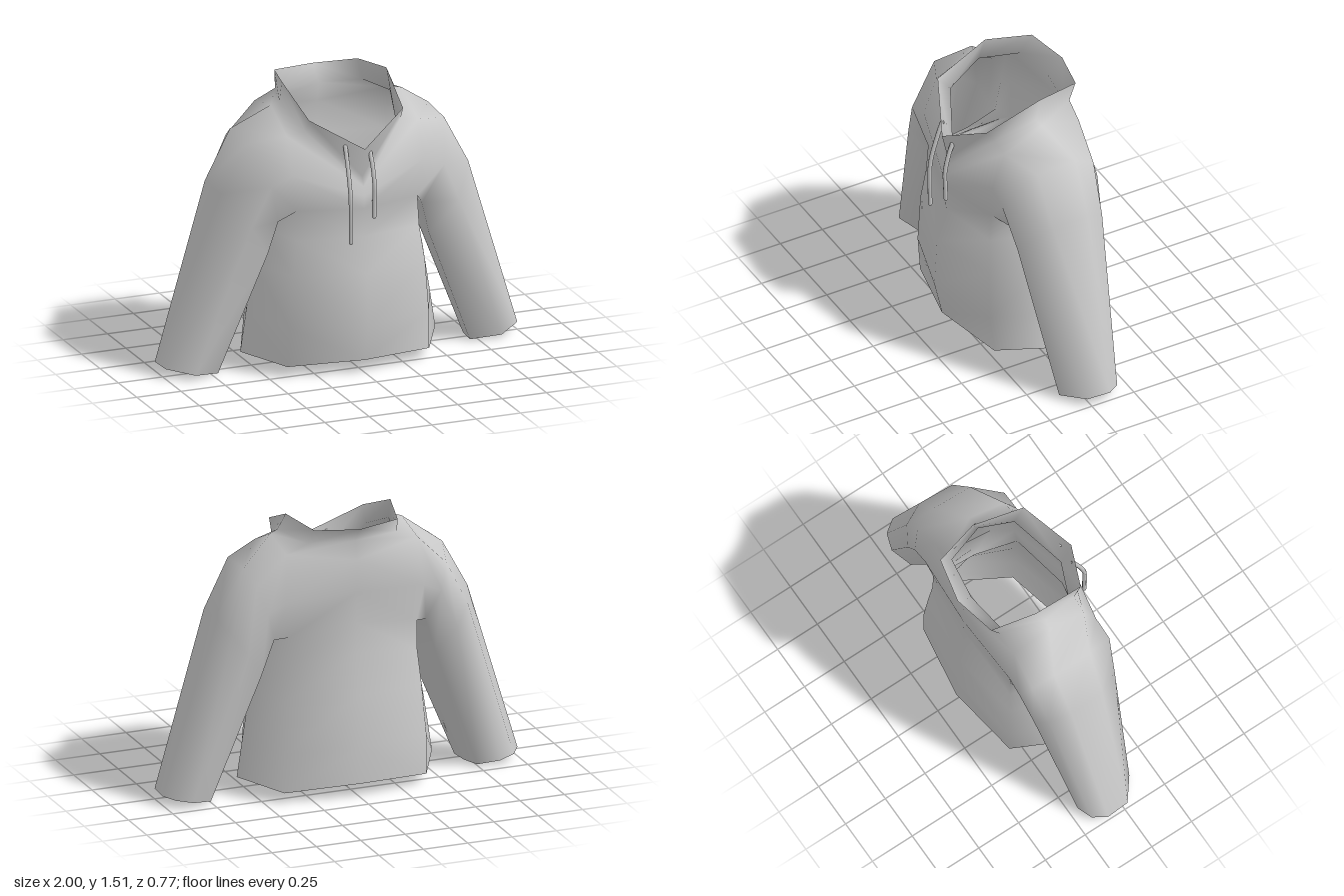
import * as THREE from 'three';

const THICK = 0.032;

// Half rings: front, front corner, side, back corner, back (mirrored to 8 points)
const RINGS = [
  [[0, 0.07, 0.34], [0.4, 0.055, 0.25], [0.55, 0.07, -0.03], [0.4, 0.055, -0.32], [0, 0.075, -0.385]], // hem
  [[0, 0.27, 0.385], [0.39, 0.27, 0.27], [0.52, 0.27, -0.03], [0.4, 0.27, -0.32], [0, 0.27, -0.385]],
  [[0, 0.55, 0.37], [0.37, 0.55, 0.265], [0.475, 0.55, -0.03], [0.38, 0.55, -0.3], [0, 0.55, -0.36]],
  [[0, 0.74, 0.315], [0.345, 0.74, 0.245], [0.425, 0.74, -0.03], [0.36, 0.74, -0.29], [0, 0.78, -0.335]],
  [[0, 0.9, 0.33], [0.34, 0.9, 0.235], [0.375, 0.88, -0.03], [0.36, 0.9, -0.285], [0, 0.95, -0.335]], // armpit
  [[0, 0.97, 0.335], [0.37, 1.1, 0.245], null, [0.39, 1.1, -0.315], [0, 1.12, -0.34]], // chest
  [[0, 1.02, 0.325], [0.37, 1.295, 0.17], [0.37, 1.4, -0.05], [0.37, 1.355, -0.27], [0, 1.3, -0.34]], // yoke
  [[0, 1.07, 0.305], [0.27, 1.315, 0.175], [0.325, 1.415, -0.04], [0.25, 1.405, -0.28], [0, 1.4, -0.32]], // collar base
  [[0, 1.23, 0.34], [0.265, 1.385, 0.22], [0.295, 1.51, -0.08], [0.235, 1.49, -0.325], [0, 1.48, -0.375]], // collar rim
];
const ARMPIT = 4, CHEST = 5, YOKE = 6, BASE = 7, RIM = 8;

// Sleeve sections: lower point, upper point, front z, back z
const SLEEVE = [
  { low: [0.405, 0.82], high: [0.56, 1.265], front: 0.25, back: -0.315 },
  { low: [0.455, 0.64], high: [0.705, 1.0], front: 0.215, back: -0.29 },
  { low: [0.71, 0], high: [1, 0.05], front: 0.12, back: -0.205 },
];
// Sleeve outline: height from lower to upper point, and depth from back (-1) to front (1)
const OUTLINE = [[0.03, -0.1], [0, 0.6], [0.53, 1], [0.97, 0.4], [1, -0.4], [0.83, -0.83], [0.53, -1], [0.14, -0.75]];

export function createModel() {
  const group = new THREE.Group();
  group.name = 'pullover';
  const material = new THREE.MeshStandardMaterial({ color: 0xcccccc });
  const rimMaterial = new THREE.MeshStandardMaterial({ color: 0xcccccc, flatShading: true, side: THREE.DoubleSide });

  const points = [];
  const add = (x, y, z) => points.push(x, y, z) / 3 - 1;
  const parts = { torso: [], leftSleeve: [], rightSleeve: [], collar: [] };
  const quad = (list, a, b, c, d) => list.push(a, b, c, a, c, d);

  // Torso and collar rings, running front, left, back, right
  const rings = RINGS.map((half) => {
    const at = (p, s) => (p ? add(s * p[0], p[1], p[2]) : -1);
    return [...half.map((p) => at(p, 1)), ...[3, 2, 1].map((i) => at(half[i], -1))];
  });
  for (let r = 0; r < RIM; r++) {
    const list = r < BASE ? parts.torso : parts.collar;
    for (let i = 0; i < 8; i++) {
      // leave the armholes open between armpit and yoke
      if ((r === ARMPIT || r === CHEST) && [1, 2, 5, 6].includes(i)) continue;
      const j = (i + 1) % 8;
      const a = rings[r][i], b = rings[r][j], c = rings[r + 1][j], d = rings[r + 1][i];
      if (i < 4) quad(list, a, b, c, d);
      else quad(list, b, c, d, a);
    }
  }

  // Sleeves grow out of the armhole loops
  const cuffs = [];
  for (const s of [1, -1]) {
    const [f, m, k] = s > 0 ? [1, 2, 3] : [7, 6, 5];
    let loop = [
      rings[ARMPIT][m], rings[ARMPIT][f], rings[CHEST][f], rings[YOKE][f],
      rings[YOKE][m], rings[YOKE][k], rings[CHEST][k], rings[ARMPIT][k],
    ];
    const list = s > 0 ? parts.leftSleeve : parts.rightSleeve;
    for (const { low, high, front, back } of SLEEVE) {
      const next = OUTLINE.map(([t, w]) => add(
        s * (low[0] + (high[0] - low[0]) * t),
        low[1] + (high[1] - low[1]) * t,
        (front + back) / 2 + (w * (front - back)) / 2,
      ));
      for (let i = 0; i < 8; i++) {
        const j = (i + 1) % 8;
        if (s > 0) quad(list, loop[i], next[i], next[j], loop[j]);
        else quad(list, loop[i], loop[j], next[j], next[i]);
      }
      loop = next;
    }
    cuffs.push(loop);
  }

  // Shared smooth normals, then a lining offset along them that meets the collar at its rim
  const outer = new THREE.BufferGeometry();
  outer.setAttribute('position', new THREE.Float32BufferAttribute(points, 3));
  outer.setIndex(Object.values(parts).flat());
  outer.computeVertexNormals();
  const normals = Array.from(outer.attributes.normal.array);
  const rim = new Set(rings[RIM]);
  const innerPoints = points.map((v, i) => v - normals[i] * (rim.has(Math.floor(i / 3)) ? 0 : THICK));

  const addMesh = (name, pos, nor, index, mat) => {
    const g = new THREE.BufferGeometry();
    g.setAttribute('position', new THREE.Float32BufferAttribute(pos, 3));
    if (nor) g.setAttribute('normal', new THREE.Float32BufferAttribute(nor, 3));
    g.setIndex(index);
    const flat = g.toNonIndexed();
    if (!nor) flat.computeVertexNormals();
    const mesh = new THREE.Mesh(flat, mat);
    mesh.name = name;
    group.add(mesh);
  };
  for (const [name, index] of Object.entries(parts)) {
    addMesh(name, points, normals, index, material);
    addMesh(name + 'Lining', innerPoints, normals.map((v) => -v), [...index].reverse(), material);
  }

  // Flat edges joining the outer skin and lining at the hem and cuffs
  const count = points.length / 3;
  const edges = { hemEdge: rings[0], leftCuffEdge: cuffs[0], rightCuffEdge: cuffs[1] };
  for (const [name, loop] of Object.entries(edges)) {
    const index = [];
    loop.forEach((a, i) => {
      const b = loop[(i + 1) % loop.length];
      quad(index, a, b, b + count, a + count);
    });
    addMesh(name, [...points, ...innerPoints], null, index, rimMaterial);
  }

  // Drawstrings hanging from the collar
  const cords = {
    rightDrawstring: [[-0.09, 1.24, 0.29], [-0.09, 1.17, 0.315], [-0.09, 1.0, 0.36], [-0.088, 0.86, 0.364], [-0.088, 0.735, 0.362]],
    leftDrawstring: [[0.045, 1.195, 0.303], [0.048, 1.14, 0.325], [0.05, 1.03, 0.35], [0.05, 0.94, 0.348], [0.05, 0.855, 0.345]],
  };
  for (const [name, path] of Object.entries(cords)) {
    const curve = new THREE.CatmullRomCurve3(path.map((p) => new THREE.Vector3(...p)));
    const cord = new THREE.Mesh(new THREE.TubeGeometry(curve, 12, 0.012, 8), material);
    cord.name = name;
    group.add(cord);
    // closed ends
    for (const p of [path[0], path[path.length - 1]]) {
      const tip = new THREE.Mesh(new THREE.SphereGeometry(0.012, 8, 6), material);
      tip.name = name + 'Tip';
      tip.position.set(...p);
      group.add(tip);
    }
  }
  return group;
}
